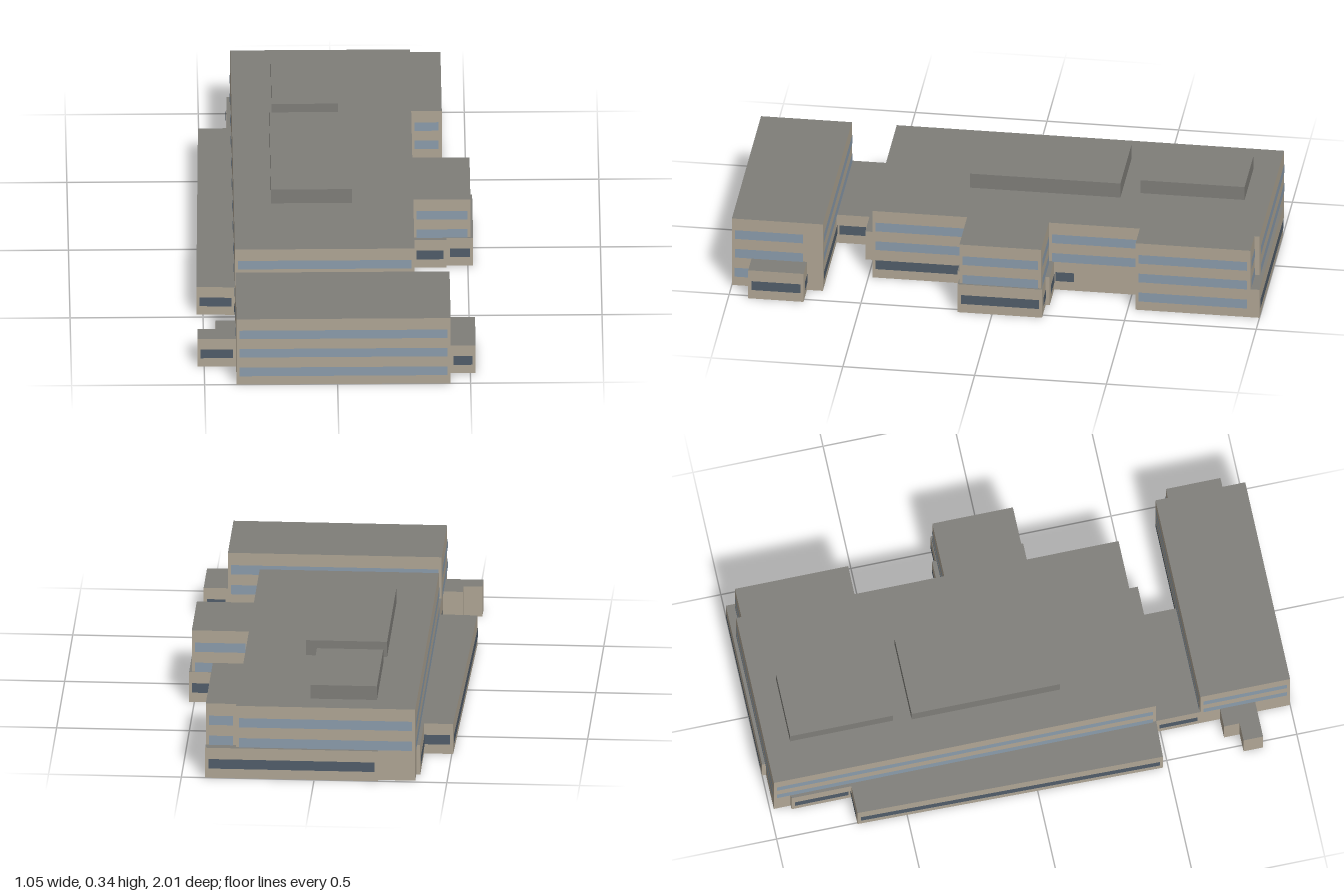
import * as THREE from 'three';

const mat = (name, color, side = THREE.FrontSide) => {
  const m = new THREE.MeshStandardMaterial({ color, side });
  m.name = name;
  return m;
};

export function createModel() {
  const wall = mat('stone wall', 0xb0a695, THREE.DoubleSide);
  const roof = mat('grey roof', 0x7f7e79, THREE.DoubleSide);
  const glass = { b: mat('blue glass', 0x8b9cac), d: mat('dark glass', 0x515d6a) };
  const LOW = 0.12, TALL = 0.285;
  const ROWS = [[0.038, 0.076], [0.12, 0.157], [0.2, 0.237]];
  const model = new THREE.Group();
  model.name = 'building';

  // Upright panel from a to b (x, z), facing right of the travel direction
  function panel(parent, name, material, a, b, y0, y1, out = 0, start = 0, end = 0) {
    const dx = b[0] - a[0], dz = b[1] - a[1], len = Math.hypot(dx, dz);
    const width = len - start - end;
    if (width <= 0.005) return;
    const nx = -dz / len, nz = dx / len, t = (start + width / 2) / len;
    const mesh = new THREE.Mesh(new THREE.PlaneGeometry(width, y1 - y0), material);
    mesh.position.set(a[0] + dx * t + nx * out, (y0 + y1) / 2, a[1] + dz * t + nz * out);
    mesh.rotation.y = Math.atan2(nx, nz);
    mesh.name = name;
    parent.add(mesh);
  }

  // Open-bottomed block. Each corner: [x, z, window rows of the next wall, start inset, end inset]
  function block(name, height, corners) {
    const g = new THREE.Group();
    g.name = name;
    corners.forEach((a, i) => {
      const b = corners[(i + 1) % corners.length];
      panel(g, 'wall', wall, a, b, 0, height);
      [...(a[2] || '')].forEach((key, row) => {
        if (glass[key]) panel(g, 'windowBand', glass[key], a, b, ...ROWS[row], 0.003, a[3] ?? 0.012, a[4] ?? 0.012);
      });
    });
    const shape = new THREE.Shape(corners.map(([x, z]) => new THREE.Vector2(x, -z)));
    const top = new THREE.Mesh(new THREE.ShapeGeometry(shape), roof);
    top.rotation.x = -Math.PI / 2;
    top.position.y = height;
    top.name = 'roof';
    g.add(top);
    model.add(g);
    return g;
  }

  // Tall blocks
  const main = block('mainBlock', TALL, [
    [-0.38, 0.485, '-bb'], [0.295, 0.485, 'dbb'], [0.295, 0.125, '-bb'], [0.51, 0.125, '-bb'],
    [0.51, -0.185, '-bb'], [0.295, -0.185, '-bb'], [0.295, -0.53, 'bbb'], [0.41, -0.53, 'bbb'],
    [0.41, -0.965, '-bb'], [0.295, -0.965], [0.295, -0.985, '-bb'], [-0.38, -0.985, '-bb'],
  ]);
  panel(main, 'shortWindow', glass.d, [0.295, -0.21], [0.295, -0.28], ...ROWS[0], 0.003);

  const front = block('frontBlock', TALL, [
    [-0.38, 1, 'bbb'], [0.425, 1, '-bb', 0.012, 0.075], [0.425, 0.655, 'dbb'], [-0.38, 0.655, '-bb'],
  ]);
  panel(front, 'shortWindow', glass.b, [0.425, 0.99], [0.425, 0.93], ...ROWS[0], 0.003);

  // Single-storey additions
  block('connector', LOW, [
    [-0.38, 0.655], [0.045, 0.655, 'd'], [0.045, 0.53], [0.16, 0.53],
    [0.16, 0.485, 'd', 0.44], [-0.38, 0.485, 'd'],
  ]);
  block('sideWingBase', LOW, [
    [0.295, 0.145, 'd'], [0.42, 0.145], [0.42, 0.13, 'd'], [0.52, 0.13, 'd'],
    [0.52, -0.19, 'd'], [0.42, -0.19], [0.42, -0.205, 'd'], [0.295, -0.205],
  ]);
  block('longSideAnnex', LOW, [
    [-0.525, 0.48, 'd'], [-0.38, 0.485, 'd', 0.012, 0.27], [-0.38, -0.69, 'd'], [-0.505, -0.69, 'd'],
  ]);
  block('sideStrip', LOW, [
    [-0.395, -0.69], [-0.38, -0.69], [-0.38, -0.92], [-0.395, -0.92, 'd'],
  ]);
  block('backAnnex', LOW, [
    [-0.24, -0.985], [0.295, -0.985], [0.295, -0.965], [0.41, -0.965], [0.41, -1, 'd'], [-0.24, -1],
  ]);
  block('frontLowAnnex', LOW, [
    [0.425, 0.925, 'd'], [0.52, 0.925, 'd'], [0.52, 0.715, 'd'], [0.425, 0.715],
  ]);
  block('frontSteppedAnnex', LOW, [
    [-0.525, 0.865, 'd'], [-0.38, 0.865, 'd'], [-0.38, 0.73], [-0.455, 0.73], [-0.455, 0.79], [-0.525, 0.79],
  ]);

  // Rooftop plant rooms
  for (const [name, x0, x1, z0, z1, y1] of [
    ['largePlantRoom', -0.24, 0.065, -0.425, 0.145, 0.345],
    ['smallPlantRoom', -0.23, 0.02, -0.89, -0.495, 0.34],
  ]) {
    const room = new THREE.Mesh(new THREE.BoxGeometry(x1 - x0, y1 - TALL, z1 - z0), roof);
    room.position.set((x0 + x1) / 2, (y1 + TALL) / 2, (z0 + z1) / 2);
    room.name = name;
    model.add(room);
  }
  return model;
}
